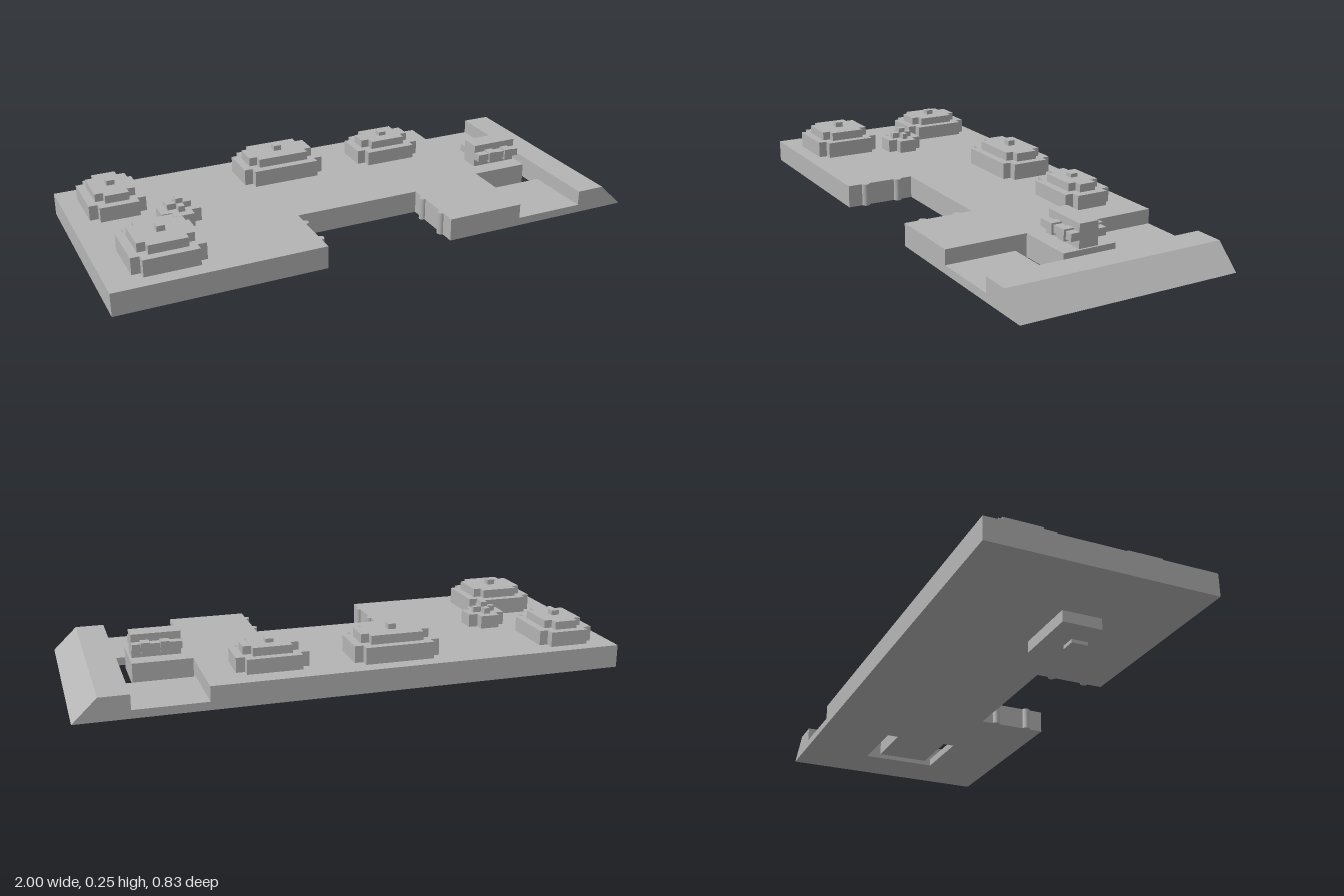
import * as THREE from 'three';

const BASE = 0.055, DECK = 0.14;

export function createModel() {
  const grey = new THREE.MeshStandardMaterial({ color: 0xb4b4b4 });
  grey.name = 'hull grey';
  const model = new THREE.Group();
  model.name = 'deckModule';

  const add = (name, geometry, parent = model) => {
    const mesh = new THREE.Mesh(geometry, grey);
    mesh.name = name;
    parent.add(mesh);
    return mesh;
  };
  const box = (name, x0, x1, y0, y1, z0, z1, parent) => {
    const g = new THREE.BoxGeometry(x1 - x0, y1 - y0, z1 - z0);
    g.translate((x0 + x1) / 2, (y0 + y1) / 2, (z0 + z1) / 2);
    return add(name, g, parent);
  };
  // Vertical prism from a plan outline given as [x, z] points
  const prism = (name, points, y0, y1, parent) => {
    const shape = new THREE.Shape(points.map(([x, z]) => new THREE.Vector2(x, -z)));
    const g = new THREE.ExtrudeGeometry(shape, { depth: y1 - y0, bevelEnabled: false });
    g.rotateX(-Math.PI / 2);
    g.translate(0, y0, 0);
    return add(name, g, parent);
  };
  // Rectangle with a square step cut from every corner
  const stepped = (hx, hz, n) => [
    [hx, hz - n], [hx - n, hz - n], [hx - n, hz], [n - hx, hz], [n - hx, hz - n], [-hx, hz - n],
    [-hx, n - hz], [n - hx, n - hz], [n - hx, -hz], [hx - n, -hz], [hx - n, n - hz], [hx, n - hz],
  ];

  // Main slab with front bay and the tongue at its left end
  prism('mainSlab', [
    [-1, -0.415], [0.54, -0.415], [0.54, -0.103], [0.76, -0.103], [0.76, 0.103], [0.54, 0.103],
    [0.54, 0.415], [0.245, 0.415], [0.245, 0.15], [-0.24, 0.15], [-0.24, 0.415], [-1, 0.415],
  ], BASE, DECK);

  // Low floors either side of the tongue opening
  box('lowFloorBack', 0.54, 0.805, BASE, 0.085, -0.415, -0.147);
  box('lowFloorFront', 0.54, 0.805, BASE, 0.085, 0.147, 0.415);

  // Sloped sill across the left end
  const sill = new THREE.Shape([[0.805, BASE], [1, BASE], [0.912, DECK], [0.805, DECK]]
    .map(([x, y]) => new THREE.Vector2(x, y)));
  const sillGeo = new THREE.ExtrudeGeometry(sill, { depth: 0.83, bevelEnabled: false });
  sillGeo.translate(0, 0, -0.415);
  add('slopedSill', sillGeo);

  // Round posts on the bay walls
  for (const x of [-0.24, 0.245]) for (const z of [0.21, 0.345]) {
    const post = add('bayPost', new THREE.CylinderGeometry(0.015, 0.015, DECK - BASE, 12));
    post.position.set(x, (BASE + DECK) / 2, z);
  }

  // Two-tier turrets: centre x, z, half sizes, tier heights
  const turrets = [
    [-0.826, -0.23, 0.105, 0.133, 0.195, 0.225, 0.243],
    [-0.774, 0.23, 0.131, 0.128, 0.202, 0.235, 0.255],
    [-0.158, -0.253, 0.16, 0.105, 0.202, 0.235, 0.255],
    [0.296, -0.245, 0.132, 0.094, 0.194, 0.224, 0.238],
  ];
  for (const [x, z, hx, hz, y1, y2, y3] of turrets) {
    const turret = new THREE.Group();
    turret.name = 'turret';
    turret.position.set(x, 0, z);
    prism('turretBase', stepped(hx, hz, 0.032), DECK, y1, turret);
    prism('turretTop', stepped(hx - 0.031, hz - 0.031, 0.03), y1, y2, turret);
    box('turretKnob', -0.015, 0.015, y2, y3, -0.015, 0.015, turret);
    model.add(turret);
  }

  // Small turret with a cross on top
  const small = new THREE.Group();
  small.name = 'smallTurret';
  small.position.set(-0.639, 0, 0);
  prism('smallBase', stepped(0.073, 0.072, 0.036), DECK, 0.19, small);
  prism('smallCross', stepped(0.044, 0.042, 0.032), 0.19, 0.212, small);
  box('smallKnob', -0.013, 0.013, 0.212, 0.23, -0.013, 0.013, small);
  model.add(small);

  // Engine block on the tongue with side bars and clamps
  box('engineBlock', 0.572, 0.752, DECK, 0.227, -0.037, 0.037);
  for (const s of [-1, 1]) {
    const span = (a, b) => (s > 0 ? [a, b] : [-b, -a]);
    box('engineBar', 0.572, 0.752, 0.17, 0.198, ...span(0.037, 0.069));
    for (const x of [0.617, 0.688]) box('engineClamp', x, x + 0.033, 0.163, 0.204, ...span(0.037, 0.077));
  }

  // Stepped block under the slab
  box('keelBlock', -0.718, -0.468, 0.013, BASE, -0.003, 0.145);
  box('keelFoot', -0.62, -0.562, 0, 0.013, 0.083, 0.145);

  return model;
}
